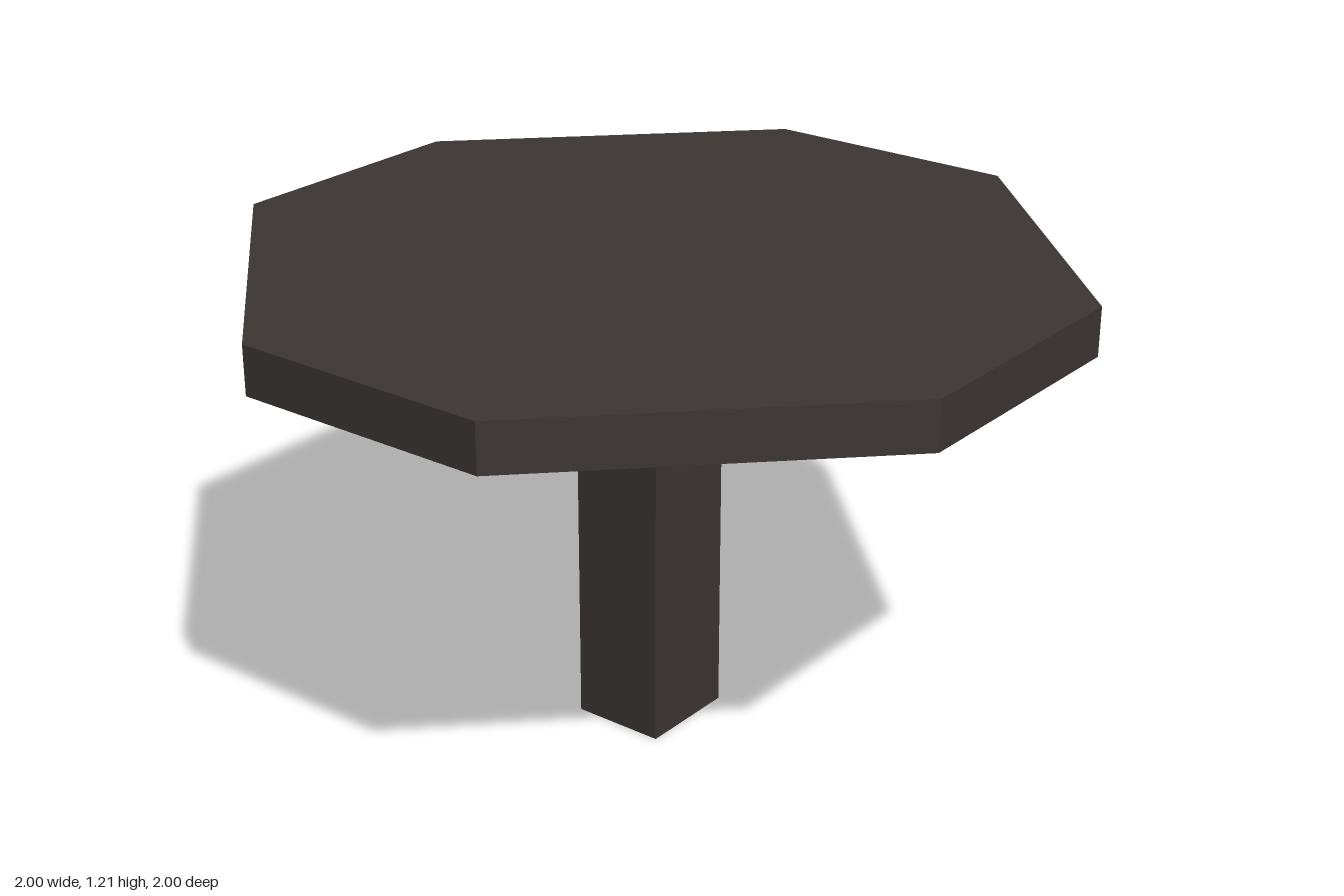
import * as THREE from 'three';

export function createModel() {
  const model = new THREE.Group();
  model.name = 'pedestalTable';

  const darkWood = new THREE.MeshStandardMaterial({ color: 0x3c3534, flatShading: true });
  darkWood.name = 'dark wood';

  // Eight-sided top: a square with its corners cut off
  const half = 1, cut = 0.333, bottom = 1.09, thickness = 0.12;
  const outline = new THREE.Shape([
    [half, -cut], [half, cut], [cut, half], [-cut, half],
    [-half, cut], [-half, -cut], [-cut, -half], [cut, -half],
  ].map(([x, y]) => new THREE.Vector2(x, y)));
  const topGeometry = new THREE.ExtrudeGeometry(outline, { depth: thickness, bevelEnabled: false });
  topGeometry.rotateX(-Math.PI / 2);
  const top = new THREE.Mesh(topGeometry, darkWood);
  top.name = 'tableTop';
  top.position.y = bottom;
  model.add(top);

  // Square post, set slightly towards the front
  const post = new THREE.Mesh(new THREE.BoxGeometry(0.24, bottom, 0.26), darkWood);
  post.name = 'post';
  post.position.set(0, bottom / 2, 0.017);
  model.add(post);

  return model;
}
